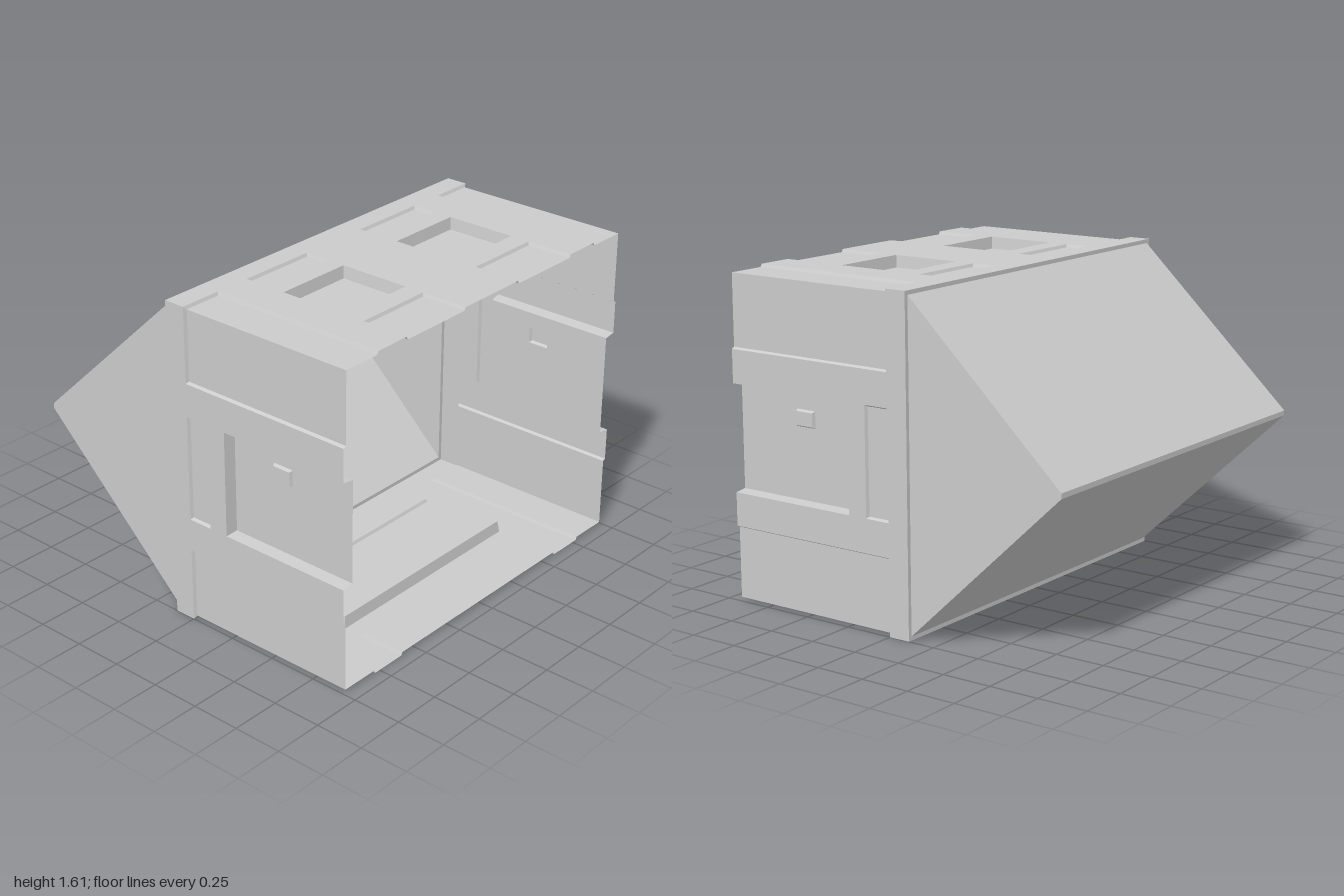
import * as THREE from 'three';

const HALF_W = 1, HALF_H = 0.805, FRONT = 0.93, COLLAR_BACK = -0.11;
const STEP = 0.015, DEEP = 0.06, BEVEL = 0.008;

const material = new THREE.MeshStandardMaterial({
  color: 0xcccccc, flatShading: true, side: THREE.DoubleSide,
});

// Collects flat quads into one mesh
function quadMesh(name, quads) {
  const pos = quads.flatMap(([a, b, c, d]) => [a, b, c, a, c, d].flat());
  const geo = new THREE.BufferGeometry();
  geo.setAttribute('position', new THREE.Float32BufferAttribute(pos, 3));
  geo.computeVertexNormals();
  const mesh = new THREE.Mesh(geo, material);
  mesh.name = name;
  return mesh;
}

const corners = ([u0, u1, v0, v1], y) => [[u0, y, v0], [u0, y, v1], [u1, y, v1], [u1, y, v0]];
const unique = (list) => [...new Set(list)].sort((a, b) => a - b);

// Fills a rectangle at height y, sinking each recess into it with bevelled walls.
// Recesses run out openly at the front edge and at the long corners of the shell.
function fillRelief(quads, rect, y, recesses, half) {
  const us = unique([rect, ...recesses.map((r) => r.rect)].flatMap((r) => [r[0], r[1]]));
  const vs = unique([rect, ...recesses.map((r) => r.rect)].flatMap((r) => [r[2], r[3]]));
  for (let i = 0; i < us.length - 1; i++) {
    for (let j = 0; j < vs.length - 1; j++) {
      const u = (us[i] + us[i + 1]) / 2, v = (vs[j] + vs[j + 1]) / 2;
      const sunk = recesses.some(({ rect: r }) => u > r[0] && u < r[1] && v > r[2] && v < r[3]);
      if (!sunk) quads.push(corners([us[i], us[i + 1], vs[j], vs[j + 1]], y));
    }
  }
  for (const { rect: r, depth, inner = [] } of recesses) {
    // open flags follow the edge order: left, front, right, back
    const open = [r[0] === -half, r[3] === FRONT, r[1] === half, false];
    const floor = [
      r[0] + (open[0] ? depth : BEVEL), r[1] - (open[2] ? depth : BEVEL),
      r[2] + BEVEL, r[3] - (open[1] ? 0 : BEVEL),
    ];
    const a = corners(r, y), b = corners(floor, y - depth);
    for (let k = 0; k < 4; k++) {
      const n = (k + 1) % 4;
      if (!open[k]) quads.push([a[k], a[n], b[n], b[k]]);
    }
    fillRelief(quads, floor, y - depth, inner, half);
  }
}

// One wall of the shell, modelled facing up and then turned about z
function wall(name, half, distance, angle, recesses) {
  const quads = [];
  fillRelief(quads, [-half, half, COLLAR_BACK, FRONT], distance, recesses, half);
  const mesh = quadMesh(name, quads);
  mesh.rotation.z = angle;
  mesh.position.y = HALF_H;
  return mesh;
}

const recess = (u0, u1, v0, v1, depth, inner) => ({ rect: [u0, u1, v0, v1], depth, inner });

// Shallow steps along both long edges of a wall
const edgeSteps = (half, start) => [
  recess(-half, -start, 0, FRONT, STEP),
  recess(start, half, 0, FRONT, STEP),
];

// Strip, deep pocket and open front strip in one column
const column = (u0, u1) => [
  recess(u0, u1, 0, 0.125, STEP),
  recess(u0, u1, 0.225, 0.59, DEEP),
  recess(u0, u1, 0.69, FRONT, STEP),
];

function sideWall(name, side) {
  // small latch raised from the floor of the deep pocket
  const latchU = [-0.095 * side, -0.178 * side].sort((a, b) => a - b);
  return wall(name, HALF_H, HALF_W, -side * Math.PI / 2, [
    ...edgeSteps(HALF_H, 0.43),
    recess(-0.265, 0.265, 0, 0.13, STEP),
    recess(-0.265, 0.265, 0.23, FRONT, DEEP, [recess(...latchU, 0.475, 0.585, -STEP)]),
  ]);
}

// Hollow wedge closing the back, with a narrow blunt ridge
function backWedge() {
  const x = 0.98, z0 = COLLAR_BACK, z1 = -0.93;
  const profile = [[0.02, z0], [0.795, z1], [0.82, z1], [1.59, z0]];
  const quads = [];
  for (let i = 0; i < 3; i++) {
    const [ya, za] = profile[i], [yb, zb] = profile[i + 1];
    quads.push([[x, ya, za], [-x, ya, za], [-x, yb, zb], [x, yb, zb]]);
  }
  const right = profile.map(([y, z]) => [x, y, z]);
  const left = profile.map(([y, z]) => [-x, y, z]).reverse();
  return quadMesh('backWedge', [...quads, right, left]);
}

// Narrow rim between the shell and the wedge
function backRim() {
  const ring = (x, y0, y1) =>
    [[x, y0, COLLAR_BACK], [-x, y0, COLLAR_BACK], [-x, y1, COLLAR_BACK], [x, y1, COLLAR_BACK]];
  const outer = ring(HALF_W, 0, HALF_H * 2), inner = ring(0.98, 0.02, 1.59);
  return quadMesh('backRim', outer.map((p, i) => {
    const n = (i + 1) % 4;
    return [p, outer[n], inner[n], inner[i]];
  }));
}

export function createModel() {
  const model = new THREE.Group();
  model.name = 'hollowPanelledPod';
  model.add(
    wall('roof', HALF_W, HALF_H, 0,
      [...edgeSteps(HALF_W, 0.78), ...column(-0.595, -0.19), ...column(0.19, 0.595)]),
    wall('floor', HALF_W, HALF_H, Math.PI,
      [...edgeSteps(HALF_W, 0.78), ...column(-0.595, 0.595)]),
    sideWall('leftWall', 1),
    sideWall('rightWall', -1),
    backRim(),
    backWedge(),
  );
  return model;
}
